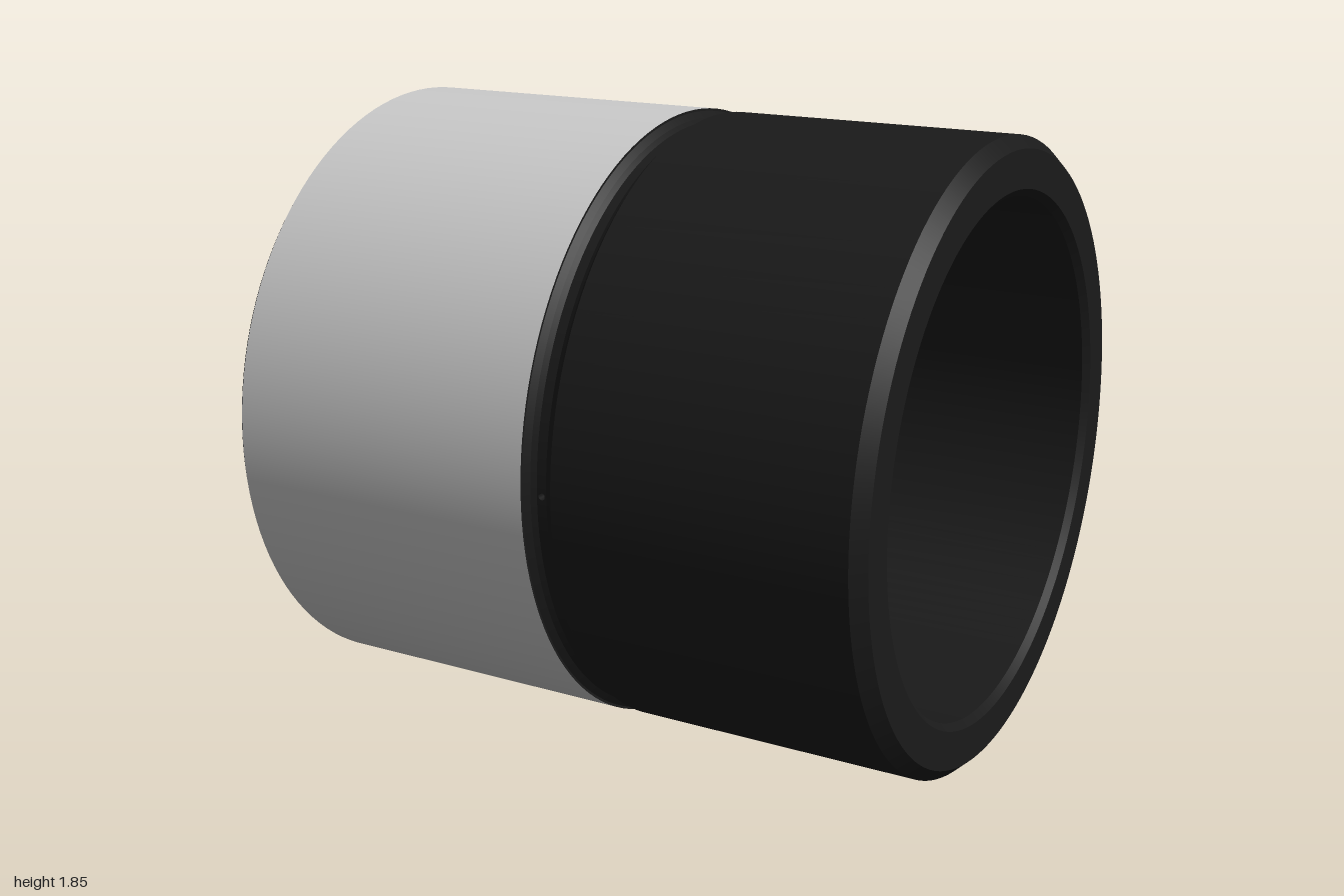
import * as THREE from 'three';
import { mergeGeometries } from 'three/addons/utils/BufferGeometryUtils.js';

const SEG = 128;
const HALF = Math.PI / SEG; // half the angle of one facet
const R = 0.927; // outer radius, also the axis height
const FLOOR_OUT = 0.893, FLOOR_IN = 0.782; // groove floors
const X0 = 0.02, X1 = 0.05; // extent of the groove floors along the axis

// Band of revolution about the x axis between two [x, radius] points
function band(a, b, start = HALF, length = Math.PI * 2, segments = SEG) {
  const pts = [a, b].map(([x, r]) => new THREE.Vector2(r, x));
  return new THREE.LatheGeometry(pts, segments, start, length).rotateZ(-Math.PI / 2);
}

// One band per profile step keeps the turned edges sharp
function turned(profile) {
  return profile.slice(1).map((p, i) => band(profile[i], p));
}

// Groove floor left open at the four oil holes
function floorBand(a, b) {
  return [0, 1, 2, 3].map((k) =>
    band(a, b, k * Math.PI / 2 + HALF, Math.PI / 2 - 2 * HALF, SEG / 4 - 1));
}

// Small block with a drilled hole, running from the inner to the outer floor
function oilHole(k) {
  const w = FLOOR_OUT * Math.sin(HALF), top = FLOOR_OUT * Math.cos(HALF);
  const bottom = FLOOR_IN * Math.cos(HALF);
  const shape = new THREE.Shape([
    new THREE.Vector2(X0, -w), new THREE.Vector2(X1, -w),
    new THREE.Vector2(X1, w), new THREE.Vector2(X0, w),
  ]);
  const hole = new THREE.Path();
  hole.absarc((X0 + X1) / 2, 0, 0.01, 0, Math.PI * 2, true);
  shape.holes.push(hole);
  return new THREE.ExtrudeGeometry(shape, { depth: top - bottom, bevelEnabled: false, curveSegments: 16 })
    .translate(0, 0, bottom)
    .rotateX(k * Math.PI / 2);
}

export function createModel() {
  const group = new THREE.Group();
  const black = new THREE.MeshStandardMaterial({ color: 0x1a1a1a });
  const grey = new THREE.MeshStandardMaterial({ color: 0xcccccc });
  const add = (name, geometries, material) => {
    const mesh = new THREE.Mesh(mergeGeometries(geometries), material);
    mesh.name = name;
    mesh.position.y = R;
    group.add(mesh);
  };

  // Ground half of the outside
  add('groundSurface', turned([[-0.99, R], [-0.01, R]]), grey);

  // Dark outside: groove shoulders, body and chamfered end
  add('outerSurface', [
    ...turned([[-0.01, R], [-0.01, 0.92], [0.005, 0.902], [X0, FLOOR_OUT]]),
    ...floorBand([X0, FLOOR_OUT], [X1, FLOOR_OUT]),
    ...turned([[X1, FLOOR_OUT], [0.065, 0.902], [0.083, 0.923], [0.962, 0.923], [1, 0.887]]),
  ], black);

  // End faces with their edge chamfers
  add('rightEndFace', turned([[1, 0.887], [1, 0.775], [0.98, 0.755]]), black);
  add('leftEndFace', turned([[-0.98, 0.755], [-1, 0.775], [-1, 0.917], [-0.99, R]]), black);

  // Bore with an inner oil groove
  add('bore', [
    ...turned([[0.98, 0.755], [0.083, 0.755], [0.065, 0.774], [X1, FLOOR_IN]]),
    ...floorBand([X1, FLOOR_IN], [X0, FLOOR_IN]),
    ...turned([[X0, FLOOR_IN], [0.005, 0.774], [-0.013, 0.755], [-0.98, 0.755]]),
  ], black);

  // Four oil holes joining the two grooves
  add('oilHoles', [0, 1, 2, 3].map(oilHole), black);

  return group;
}
